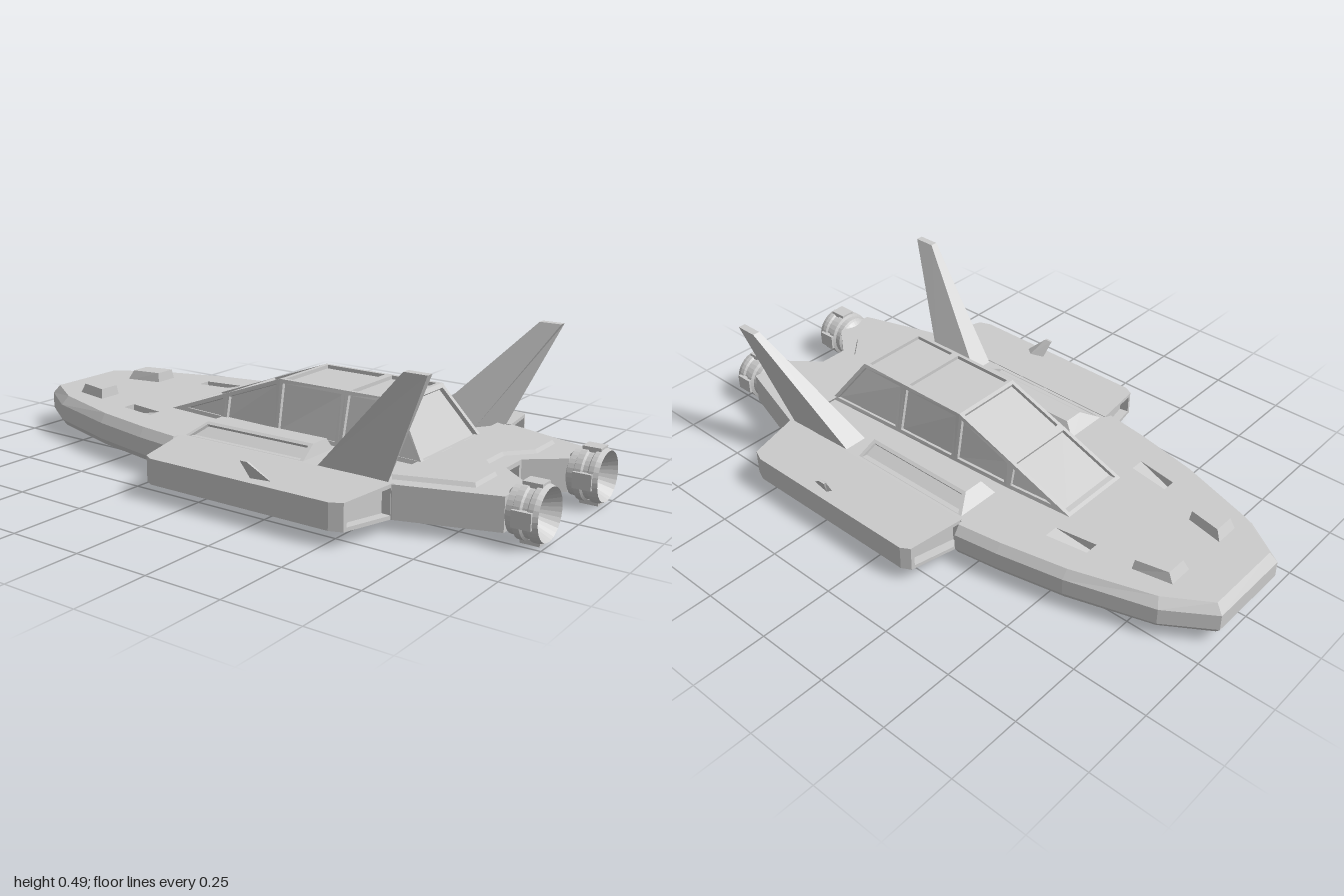
import * as THREE from 'three';

const grey = new THREE.MeshStandardMaterial({ color: 0xcccccc, flatShading: true });
const V = (x, y, z) => new THREE.Vector3(x, y, z);

// Mesh from convex polygons, corners counter-clockwise from outside
function polyMesh(name, polys) {
  const pos = [];
  for (const p of polys)
    for (let i = 1; i < p.length - 1; i++)
      for (const v of [p[0], p[i], p[i + 1]]) pos.push(v.x, v.y, v.z);
  const g = new THREE.BufferGeometry();
  g.setAttribute('position', new THREE.Float32BufferAttribute(pos, 3));
  g.computeVertexNormals();
  const m = new THREE.Mesh(g, grey);
  m.name = name;
  return m;
}

const mirror = polys => polys.map(p => p.map(v => V(-v.x, v.y, v.z)).reverse());

// Polygon with a rim of width m around a pane sunk by d
function panel(p, m, d) {
  const n = p.length, sub = (a, b) => a.clone().sub(b);
  const normal = sub(p[1], p[0]).cross(sub(p[n - 1], p[0])).normalize();
  const inner = p.map((v, i) => {
    const e1 = sub(p[(i + 1) % n], v).normalize(), e2 = sub(p[(i + n - 1) % n], v).normalize();
    return v.clone().addScaledVector(e1.clone().add(e2), m / e1.clone().cross(e2).length());
  });
  const pane = inner.map(v => v.clone().addScaledVector(normal, -d));
  const out = [pane];
  for (let i = 0; i < n; i++) {
    const j = (i + 1) % n;
    out.push([p[i], p[j], inner[j], inner[i]], [inner[i], inner[j], pane[j], pane[i]]);
  }
  return out;
}

// Solid between two outlines; the sides listed in sunk get a recessed panel
function prism(b, t, sunk = [], m = 0.012, d = 0.03) {
  const out = [t, [...b].reverse()];
  b.forEach((v, i) => {
    const j = (i + 1) % b.length, q = [v, b[j], t[j], t[i]];
    if (sunk.includes(i)) out.push(...panel(q, m, d));
    else out.push(q);
  });
  return out;
}
const rect = (x0, x1, z0, z1, y) => [V(x0, y, z1), V(x1, y, z1), V(x1, y, z0), V(x0, y, z0)];

function hull() {
  const group = new THREE.Group();
  group.name = 'hull';
  // Half outline: x, z, then the bevel inset in x and z
  const half = [[0.15, -1, 0.01, 0.025], [0.25, -0.85, 0.02, 0.015], [0.335, -0.57, 0.02, 0],
    [0.38, -0.35, 0.02, 0], [0.402, -0.2, 0.02, 0], [0.365, -0.195, 0, 0], [0.37, 0.6, 0, 0],
    [0.275, 0.9, 0, 0], [0.14, 0.9, 0, 0], [0.05, 0.79, 0, 0]];
  const line = [...half, ...[...half].reverse().map(([x, z, a, b]) => [-x, z, -a, b])];
  const rings = [[0.04, 0.6], [0.06, 0], [0.115, 0], [0.145, 1]].map(([y, k]) =>
    line.map(([x, z, a, b]) => V(x - a * k, y, z + b * k)));
  const n = line.length, sides = [];
  for (let i = 0; i < n; i++) {
    const j = (i + 1) % n;
    if (i === half.length - 1) { // recess between the engines
      sides.push(...panel([rings[0][j], rings[0][i], rings[3][i], rings[3][j]], 0.014, 0.035));
      continue;
    }
    for (let k = 0; k < 3; k++) sides.push([rings[k][j], rings[k][i], rings[k + 1][i], rings[k + 1][j]]);
  }
  group.add(polyMesh('hullSides', sides));

  // Deck with two ramped nose vents, and the flat belly
  const vent = [[0.175, -0.57], [0.222, -0.57], [0.243, -0.43], [0.196, -0.43]];
  const deckShape = new THREE.Shape(rings[3].map(v => new THREE.Vector2(v.x, -v.z)));
  for (const s of [1, -1])
    deckShape.holes.push(new THREE.Path(vent.map(([x, z]) => new THREE.Vector2(s * x, -z))));
  const deck = new THREE.Mesh(new THREE.ShapeGeometry(deckShape).rotateX(-Math.PI / 2).translate(0, 0.145, 0), grey);
  deck.name = 'deck';
  const bellyShape = new THREE.Shape(rings[0].map(v => new THREE.Vector2(v.x, v.z)));
  const belly = new THREE.Mesh(new THREE.ShapeGeometry(bellyShape).rotateX(Math.PI / 2).translate(0, 0.04, 0), grey);
  belly.name = 'belly';
  const [A, B, C, D] = vent.map(([x, z]) => V(x, 0.145, z));
  const A2 = V(A.x, 0.11, A.z), B2 = V(B.x, 0.11, B.z);
  const ventPolys = [[D, C, B2, A2], [A2, B2, B, A], [D, A2, A], [C, B, B2]];
  group.add(deck, belly, polyMesh('noseVents', [...ventPolys, ...mirror(ventPolys)]));
  return group;
}

function canopy() {
  // Stations: top z, top y, base z, base half width
  const st = [[-0.43, 0.145, -0.43, 0.13], [-0.19, 0.234, -0.19, 0.15], [0.03, 0.315, 0.03, 0.16],
    [0.28, 0.315, 0.28, 0.17], [0.47, 0.315, 0.59, 0.185]];
  const top = st.map(s => V(0.13, s[1], s[0])), base = st.map(s => V(s[3], 0.145, s[2]));
  const flip = v => V(-v.x, v.y, v.z);
  const polys = [];
  for (let i = 0; i < 4; i++) {
    const a = top[i], b = top[i + 1];
    polys.push(...panel([flip(b), b, a, flip(a)], 0.013, 0.012));
    const side = i ? [base[i + 1], base[i], a, b] : [base[1], a, b];
    const sp = panel(side, 0.013, 0.012);
    polys.push(...sp, ...mirror(sp));
  }
  polys.push(...panel([flip(base[4]), base[4], top[4], flip(top[4])], 0.015, 0.014));
  return polyMesh('canopy', polys);
}

function engine(x) {
  const group = new THREE.Group();
  group.name = 'engine';
  group.position.set(x, 0.092, 0);
  // Ribbed nozzle, then its hollow inner cone
  const profile = [[0.05, 0.88], [0.066, 0.895], [0.074, 0.9], [0.074, 0.92], [0.084, 0.925], [0.084, 0.945],
    [0.077, 0.95], [0.077, 0.965], [0.084, 0.97], [0.084, 0.985], [0.079, 1], [0.036, 0.925], [0, 0.925]];
  const nozzle = new THREE.Mesh(
    new THREE.LatheGeometry(profile.map(p => new THREE.Vector2(...p)), 32).rotateX(Math.PI / 2), grey);
  nozzle.name = 'nozzle';
  group.add(nozzle);
  for (let i = 0; i < 4; i++) {
    const lug = new THREE.Mesh(new THREE.BoxGeometry(0.05, 0.016, 0.06).translate(0, 0.082, 0.955), grey);
    lug.rotation.z = i * Math.PI / 2;
    lug.name = 'nozzleLug';
    group.add(lug);
  }
  return group;
}

export function createModel() {
  const model = new THREE.Group();
  model.name = 'spacecraft';
  model.add(hull(), canopy());

  // Stub wings, thinner at the tips, with recessed front and rear faces
  const plan = [[0.36, 0.6], [0.55, 0.56], [0.567, 0.52], [0.567, -0.13], [0.55, -0.16], [0.36, -0.192]];
  const wing = prism(plan.map(([x, z]) => V(x, 0.04 + (x - 0.36) * 0.05, z)),
    plan.map(([x, z]) => V(x, 0.147 - (x - 0.36) * 0.07, z)), [0, 4]);

  // Swept tail fins
  const fin = prism([V(0.265, 0.14, 0.515), V(0.362, 0.14, 0.58), V(0.352, 0.14, 0.33), V(0.268, 0.14, 0.33)],
    rect(0.403, 0.428, 0.663, 0.737, 0.488));

  // Small leaning fins near the wing tips
  const finlet = prism([V(0.5, 0.13, 0.27), V(0.525, 0.13, 0.3), V(0.535, 0.13, 0.23), V(0.52, 0.13, 0.22)],
    rect(0.552, 0.56, 0.21, 0.235, 0.19));

  // Shoulder fairings beside the canopy, with a sunk outer slope
  const shoulder = prism(rect(0.19, 0.357, -0.185, 0.28, 0.14), rect(0.215, 0.285, -0.14, 0.27, 0.182),
    [1], 0.012, 0.01);

  // Blocks on the nose
  const block = prism([V(0.105, 0.14, -0.71), V(0.19, 0.14, -0.71), V(0.165, 0.14, -0.84), V(0.078, 0.14, -0.84)],
    [V(0.11, 0.178, -0.715), V(0.183, 0.178, -0.715), V(0.16, 0.178, -0.82), V(0.09, 0.178, -0.82)]);

  // Raised plate behind the canopy
  const plate = [[0, 0.58], [0, 0.735], [0.05, 0.735], [0.13, 0.805], [0.26, 0.805], [0.335, 0.58]];
  const rearPlate = prism(plan2(plate, 0.14, 0), plan2(plate, 0.157, 0.01));

  const parts = { wing, tailFin: fin, wingFinlet: finlet, shoulder, noseBlock: block, rearPlate };
  for (const [name, polys] of Object.entries(parts))
    model.add(polyMesh(name + 'Left', polys), polyMesh(name + 'Right', mirror(polys)));

  for (const s of [1, -1]) model.add(engine(s * 0.2));
  return model;
}

// Plan outline lifted to height y, pulled forward by the inset
function plan2(points, y, inset) {
  return points.map(([x, z]) => V(x > 0.2 ? x - inset : x, y, z - inset));
}
